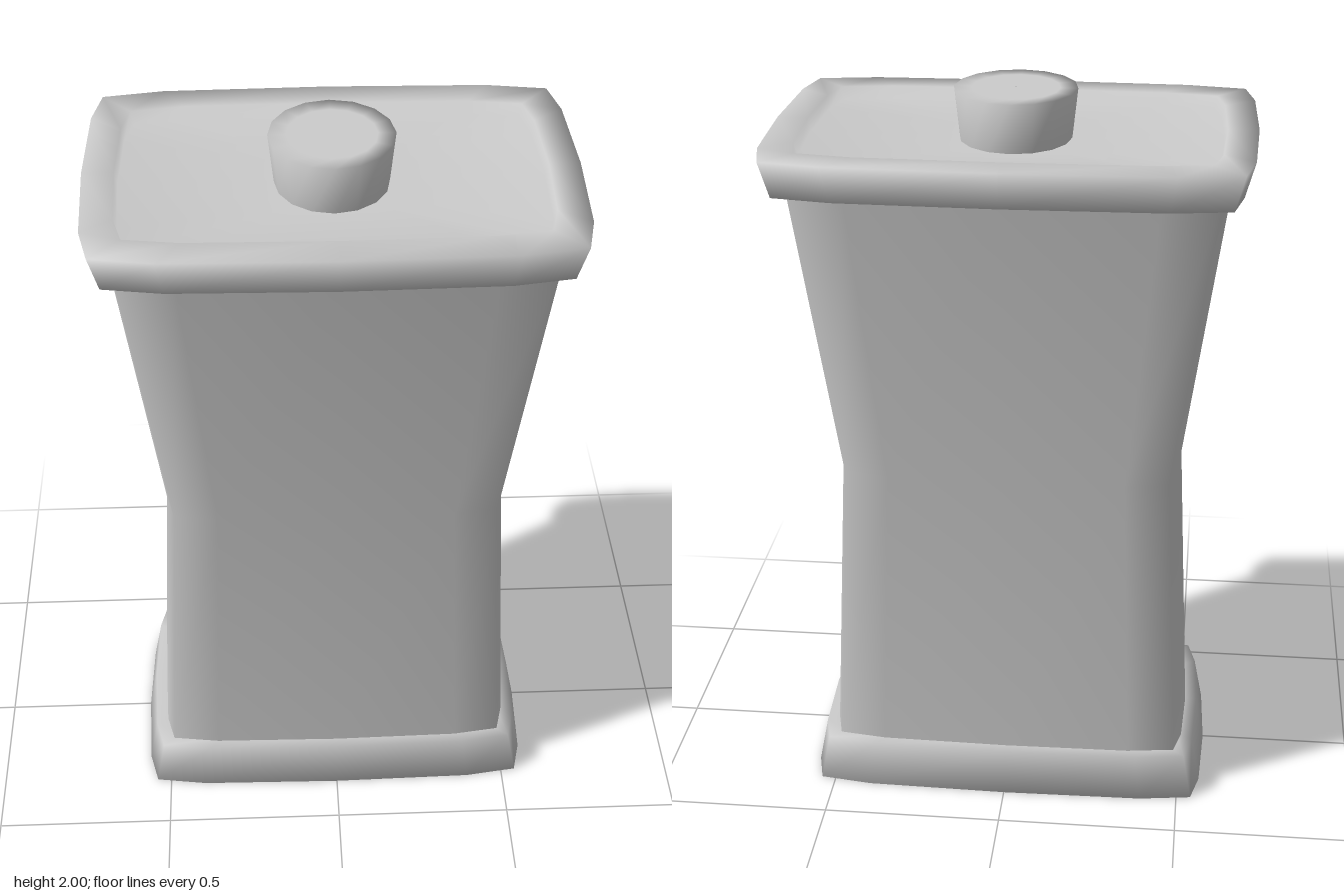
import * as THREE from 'three';

// Quarter outline of the softly bulging rectangle, in units of its half sizes
const quarter = [[0, 1], [0.69, 0.98], [0.945, 0.92], [0.985, 0.65]];

// Full outline, running from +z through +x, -z and -x
function softRectangle() {
  const mirrored = quarter.slice(1).reverse();
  return [
    ...quarter,
    [1, 0],
    ...mirrored.map(([x, z]) => [x, -z]),
    [0, -1],
    ...quarter.slice(1).map(([x, z]) => [-x, -z]),
    [-1, 0],
    ...mirrored.map(([x, z]) => [-x, z]),
  ];
}

function circle(sides) {
  return Array.from({ length: sides }, (_, i) => {
    const a = (i / sides) * Math.PI * 2;
    return [Math.sin(a), Math.cos(a)];
  });
}

// Smooth skin over rings of [y, half width, half depth], listed so outside faces out
function loft(name, outline, rings, material) {
  const n = outline.length;
  const positions = [];
  const index = [];
  for (const [y, hx, hz] of rings) {
    for (const [x, z] of outline) positions.push(x * hx, y, z * hz);
  }
  for (let r = 0; r < rings.length - 1; r++) {
    for (let i = 0; i < n; i++) {
      const a = r * n + i;
      const b = r * n + ((i + 1) % n);
      index.push(a, b, b + n, a, b + n, a + n);
    }
  }
  const geometry = new THREE.BufferGeometry();
  geometry.setAttribute('position', new THREE.Float32BufferAttribute(positions, 3));
  geometry.setIndex(index);
  geometry.computeVertexNormals();
  const mesh = new THREE.Mesh(geometry, material);
  mesh.name = name;
  return mesh;
}

export function createModel() {
  const group = new THREE.Group();
  group.name = 'liddedCanister';
  const material = new THREE.MeshStandardMaterial({ color: 0xcccccc, side: THREE.DoubleSide });
  const outline = softRectangle();

  // Flared foot, closed underneath
  group.add(loft('base', outline, [
    [0, 0.001, 0.001],
    [0, 0.5, 0.29],
    [0, 0.572, 0.36],
    [0.13, 0.547, 0.345],
    [0.13, 0.5, 0.3],
  ], material));

  // Waisted body, running slightly into base and lid
  group.add(loft('body', outline, [
    [0.12, 0.515, 0.312],
    [0.97, 0.475, 0.3],
    [1.81, 0.592, 0.403],
  ], material));

  // Lid with a raised rim around a sunken panel
  group.add(loft('lid', outline, [
    [1.8, 0.57, 0.38],
    [1.8, 0.625, 0.445],
    [1.9, 0.652, 0.467],
    [1.9, 0.568, 0.37],
    [1.865, 0.56, 0.36],
    [1.865, 0.15, 0.17],
    [1.865, 0.001, 0.001],
  ], material));

  // Oval knob
  group.add(loft('knob', circle(16), [
    [1.86, 0.152, 0.175],
    [2, 0.167, 0.19],
    [2, 0.12, 0.135],
    [2, 0.001, 0.001],
  ], material));

  return group;
}
